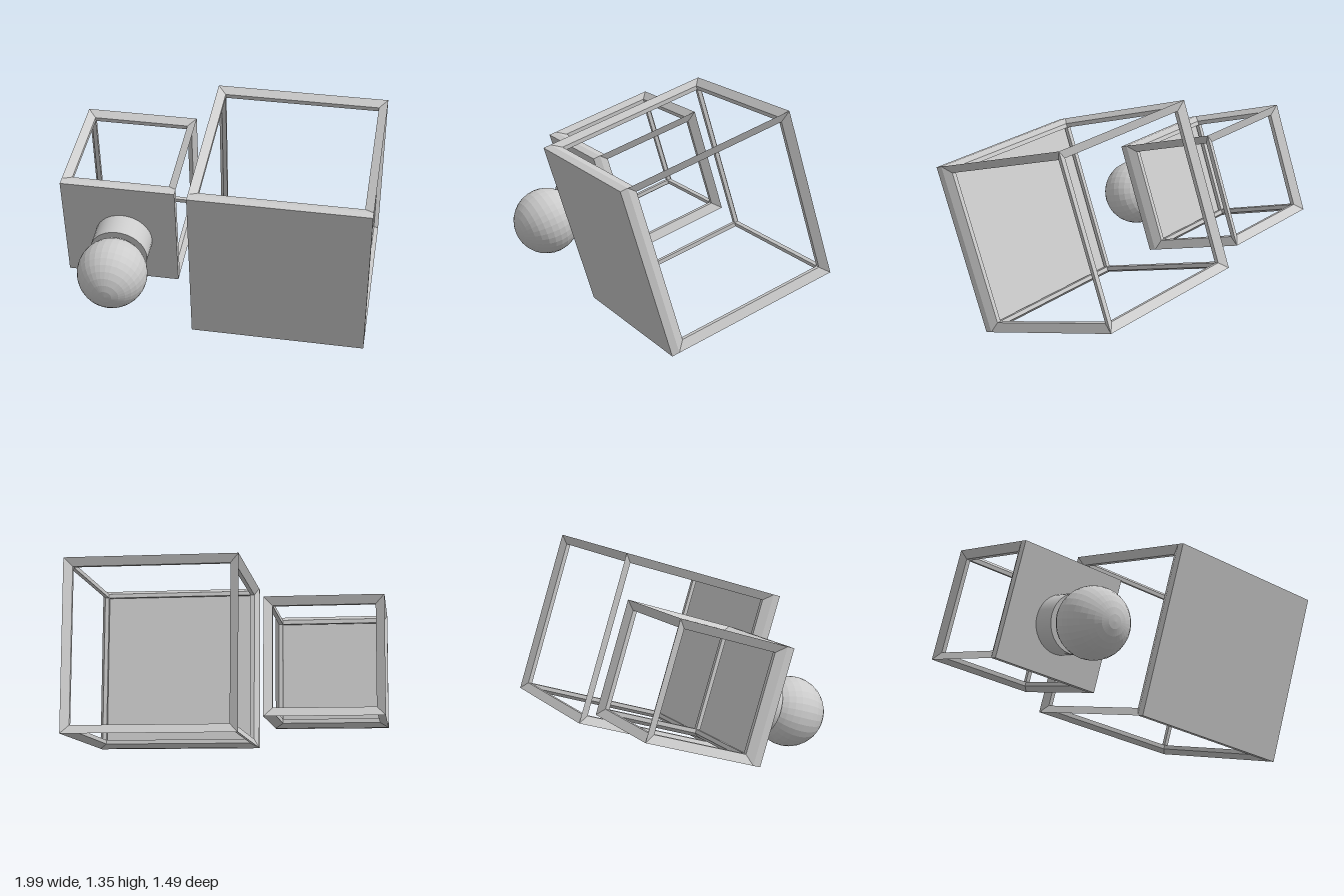
import * as THREE from 'three';

const material = new THREE.MeshStandardMaterial({ color: 0xcccccc, flatShading: true });
const smooth = new THREE.MeshStandardMaterial({ color: 0xcccccc });

function addPart(parent, name, geometry, mat = material) {
  const mesh = new THREE.Mesh(geometry, mat);
  mesh.name = name;
  parent.add(mesh);
  return mesh;
}

// One bar of an open cube: kite cross-section, mitred at both ends.
// k is the axis it runs along; su and sv pick which of the four edges.
function barGeometry(h, t, k, su, sv) {
  const u = (k + 1) % 3, v = (k + 2) % 3;
  // insets along u, v and k of the outer, face, inner and face corners
  const loop = [[0, 0, 0], [t, 2 * t, 2 * t], [2 * t, 2 * t, 2 * t], [2 * t, t, 2 * t]];
  if (su * sv > 0) loop.reverse();
  const corner = ([a, b, c], end) => {
    const p = [0, 0, 0];
    p[u] = su * (h - a);
    p[v] = sv * (h - b);
    p[k] = end * (h - c);
    return p;
  };
  const positions = [];
  loop.forEach((a, i) => {
    const b = loop[(i + 1) % 4];
    const [p, q, r, s] = [corner(a, -1), corner(b, -1), corner(b, 1), corner(a, 1)];
    positions.push(...p, ...q, ...r, ...p, ...r, ...s);
  });
  const geometry = new THREE.BufferGeometry();
  geometry.setAttribute('position', new THREE.Float32BufferAttribute(positions, 3));
  geometry.computeVertexNormals();
  return geometry;
}

// Open cube of bars with a solid slab closing its front.
function createBox(name, size, slab, t) {
  const box = new THREE.Group();
  box.name = name;
  const h = size / 2;
  const frame = new THREE.Group();
  frame.name = 'frame';
  for (let k = 0; k < 3; k++)
    for (const su of [-1, 1])
      for (const sv of [-1, 1]) addPart(frame, 'frameBar', barGeometry(h, t, k, su, sv));
  frame.position.z = -slab / 2;
  box.add(frame);
  addPart(box, 'frontPanel', new THREE.BoxGeometry(size, size, slab)).position.z = h;
  return box;
}

export function createModel() {
  const model = new THREE.Group();
  model.name = 'tiltedBoxes';

  // Both boxes share one tilt
  const x = new THREE.Vector3(0.993, -0.039, -0.113).normalize();
  const z = new THREE.Vector3(0.094, -0.319, 0.943).normalize();
  const y = new THREE.Vector3().crossVectors(z, x).normalize();
  z.crossVectors(x, y);
  const tilt = new THREE.Quaternion().setFromRotationMatrix(new THREE.Matrix4().makeBasis(x, y, z));

  const large = createBox('largeBox', 1.02, 0.045, 0.025);
  large.position.set(0.402, 0.679, -0.022);
  const small = createBox('smallBox', 0.68, 0.045, 0.025);
  small.position.set(-0.6, 0.688, -0.076);
  for (const box of [large, small]) {
    box.quaternion.copy(tilt);
    model.add(box);
  }

  // Knob on the small front panel: short neck and round ball
  const front = 0.3625;
  const neck = addPart(small, 'knobNeck', new THREE.CylinderGeometry(0.172, 0.172, 0.17, 32), smooth);
  neck.rotation.x = Math.PI / 2;
  neck.position.set(0.02, -0.036, front + 0.065);
  const ball = addPart(small, 'knobBall', new THREE.SphereGeometry(0.205, 32, 16));
  ball.rotation.x = Math.PI / 2;
  ball.position.set(0.02, -0.036, front + 0.31);

  return model;
}
